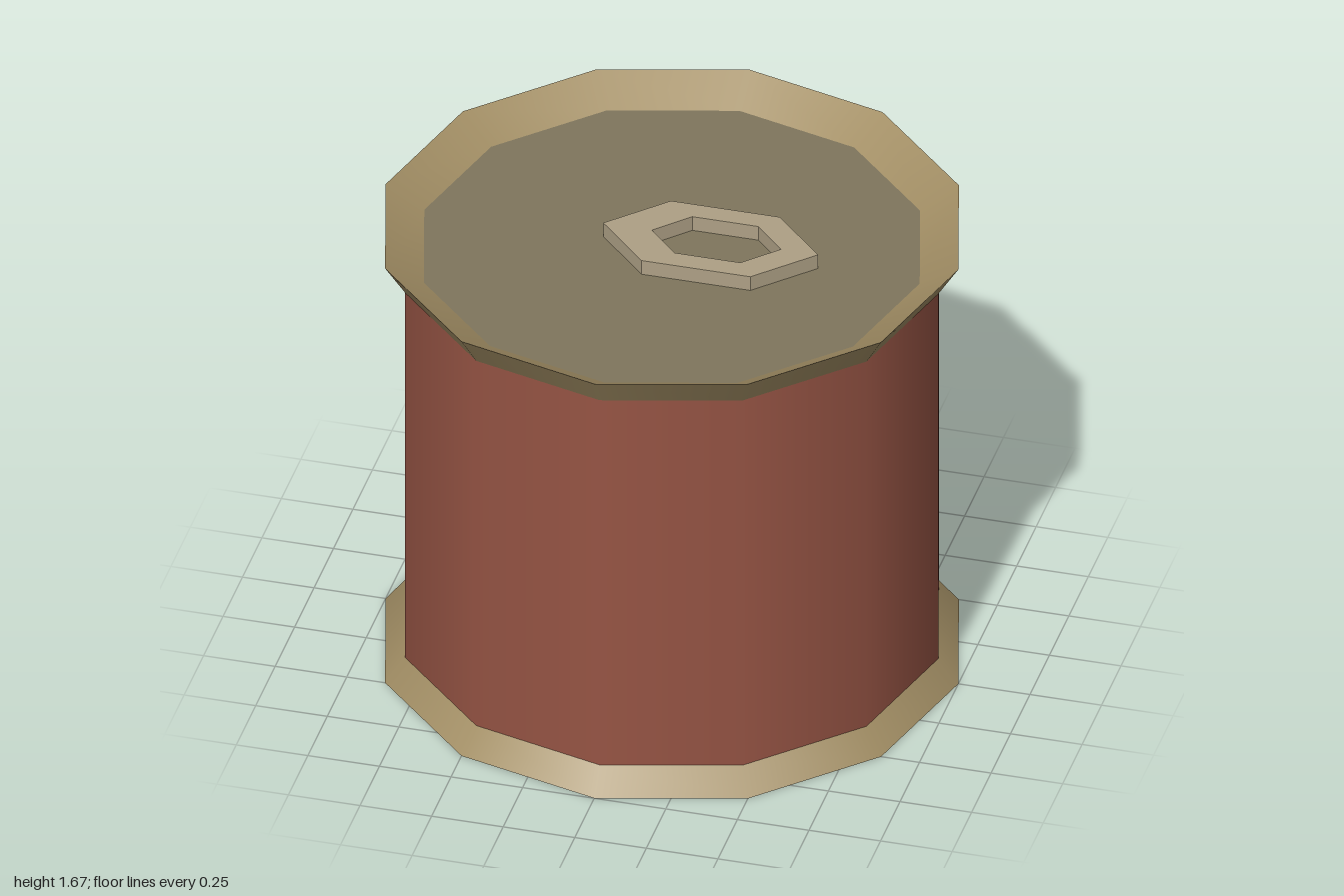
import * as THREE from 'three';

const SIDES = 12;

function material(name, color) {
  const m = new THREE.MeshStandardMaterial({ color });
  m.name = name;
  return m;
}

// Hexagon stretched along x: pointed ends, straight long sides
function hexagon(target, cx, halfLength, halfFlat, halfWidth) {
  return target.setFromPoints([
    [halfLength, 0], [halfFlat, halfWidth], [-halfFlat, halfWidth],
    [-halfLength, 0], [-halfFlat, -halfWidth], [halfFlat, -halfWidth],
  ].map(([x, y]) => new THREE.Vector2(cx + x, y)));
}

export function createModel() {
  const can = new THREE.Group();
  can.name = 'can';

  const brass = material('brass rim', 0xa38f65);
  const lidMetal = material('lid metal', 0x7f765d);
  const tabMetal = material('tab metal', 0xaea085);
  const red = material('red wall', 0x965444);

  // One smooth band of the can between two [radius, height] points
  function band(name, mat, from, to) {
    const points = [from, to].map(([r, y]) => new THREE.Vector2(r, y));
    const mesh = new THREE.Mesh(new THREE.LatheGeometry(points, SIDES), mat);
    mesh.name = name;
    can.add(mesh);
  }

  band('base', brass, [0, 0], [1, 0]);
  band('bottomRim', brass, [1, 0], [0.93, 0.09]);
  band('wall', red, [0.93, 0.09], [0.93, 1.56]);
  band('topRimOutside', brass, [0.93, 1.56], [1, 1.67]);
  band('topRimInside', brass, [1, 1.67], [0.865, 1.59]);
  band('lid', lidMetal, [0.865, 1.59], [0, 1.59]);

  // Pull tab: hexagonal ring lying on the lid
  const ring = hexagon(new THREE.Shape(), 0.135, 0.375, 0.19, 0.19);
  ring.holes.push(hexagon(new THREE.Path(), 0.155, 0.225, 0.115, 0.115));
  const tab = new THREE.Mesh(
    new THREE.ExtrudeGeometry(ring, { depth: 0.055, bevelEnabled: false }), tabMetal);
  tab.name = 'pullTab';
  tab.rotation.x = -Math.PI / 2;
  tab.position.y = 1.59;
  can.add(tab);

  return can;
}
